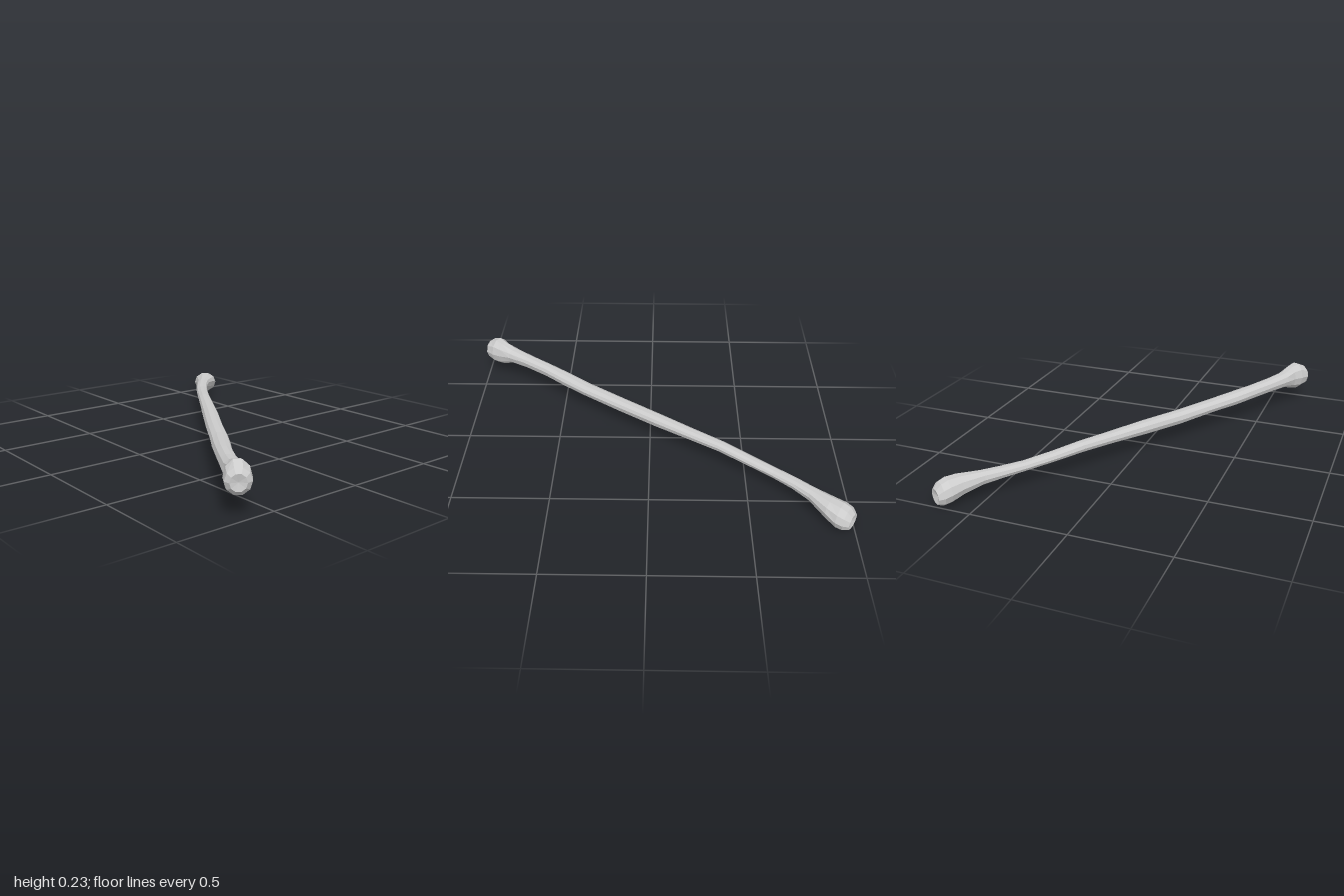
import * as THREE from 'three';

const SIDES = 10;
// Long axis of the bone and the horizontal direction across it
const ALONG = new THREE.Vector3(0.567, 0, -0.824);
const ACROSS = new THREE.Vector3(0.824, 0, 0.567);

// Cross-sections: distance along, across min, across max, y min, y max
const HEAD = [
  [-1.192, -0.04, 0.035, 0.12, 0.195],
  [-1.17, -0.06, 0.058, 0.1, 0.215],
  [-1.12, -0.062, 0.063, 0.084, 0.235],
  [-1.075, -0.05, 0.053, 0.09, 0.224],
  [-1.01, -0.056, 0.037, 0.112, 0.2],
];
const SHAFT = [
  [-0.9, -0.058, 0.024, 0.112, 0.187],
  [-0.75, -0.063, 0.017, 0.105, 0.178],
  [-0.6, -0.067, 0.022, 0.095, 0.168],
  [-0.45, -0.065, 0.024, 0.092, 0.158],
  [-0.2, -0.069, 0.016, 0.08, 0.152],
  [0.03, -0.07, 0.013, 0.08, 0.15],
  [0.25, -0.07, 0.004, 0.086, 0.144],
  [0.43, -0.071, -0.004, 0.087, 0.142],
  [0.6, -0.07, -0.004, 0.08, 0.128],
  [0.75, -0.067, -0.001, 0.075, 0.12],
  [0.87, -0.06, 0.01, 0.067, 0.121],
];
const FOOT = [
  [0.97, -0.049, 0.028, 0.055, 0.123],
  [1.08, -0.052, 0.072, 0.025, 0.126],
  [1.14, -0.058, 0.083, 0.003, 0.124],
  [1.175, -0.056, 0.077, 0, 0.112],
  [1.202, -0.038, 0.055, 0.01, 0.085],
];

function place(s, t, y) {
  const p = ALONG.clone().multiplyScalar(s).addScaledVector(ACROSS, t);
  return [p.x, y, p.z];
}

// Ring of corners; ridge lifts the outer edge into a crest
function ring([s, t0, t1, y0, y1], ridge) {
  const points = [];
  for (let j = 0; j < SIDES; j++) {
    const a = (j / SIDES) * Math.PI * 2;
    const u = Math.cos(a);
    let v = Math.sin(a) / Math.sin(Math.PI * 0.4);
    v += ridge * Math.max(0, u) * (1 - v * v);
    points.push(place(s, (t0 + t1) / 2 + (u * (t1 - t0)) / 2, (y0 + y1) / 2 + (v * (y1 - y0)) / 2));
  }
  return points;
}

// Skin over the sections, with an optional dished cap at either end
function loft(name, sections, ridges, capStart, capEnd) {
  const pos = sections.flatMap((sec, i) => ring(sec, ridges[i])).flat();
  const index = [];
  const last = sections.length - 1;
  for (let i = 0; i < last; i++) {
    for (let j = 0; j < SIDES; j++) {
      const k = (j + 1) % SIDES;
      const a = i * SIDES + j, b = i * SIDES + k;
      index.push(a, a + SIDES, b, b, a + SIDES, b + SIDES);
    }
  }
  const cap = (i, depth, flip) => {
    const [s, t0, t1, y0, y1] = sections[i];
    const c = pos.length / 3;
    pos.push(...place(s + depth, (t0 + t1) / 2, (y0 + y1) / 2));
    for (let j = 0; j < SIDES; j++) {
      const a = i * SIDES + j, b = i * SIDES + ((j + 1) % SIDES);
      index.push(c, flip ? b : a, flip ? a : b);
    }
  };
  if (capStart) cap(0, 0.008, false);
  if (capEnd) cap(last, -0.012, true);
  const geo = new THREE.BufferGeometry();
  geo.setAttribute('position', new THREE.Float32BufferAttribute(pos, 3));
  geo.setIndex(index);
  geo.computeVertexNormals();
  const mesh = new THREE.Mesh(geo, new THREE.MeshStandardMaterial({ color: 0xcccccc, flatShading: true }));
  mesh.name = name;
  return mesh;
}

export function createModel() {
  const bone = new THREE.Group();
  bone.name = 'bone';
  const crest = SHAFT.map(() => 0.35);
  // Rounded head with its neck
  bone.add(loft('head', [...HEAD, SHAFT[0]], [0, 0, 0, 0, 0.15, 0.35], true, false));
  // Long, slightly bowed shaft
  bone.add(loft('shaft', SHAFT, crest, false, false));
  // Flared lower end
  bone.add(loft('flaredEnd', [SHAFT[SHAFT.length - 1], ...FOOT], [0.35, 0.25, 0.15, 0, 0, 0], false, true));
  return bone;
}
